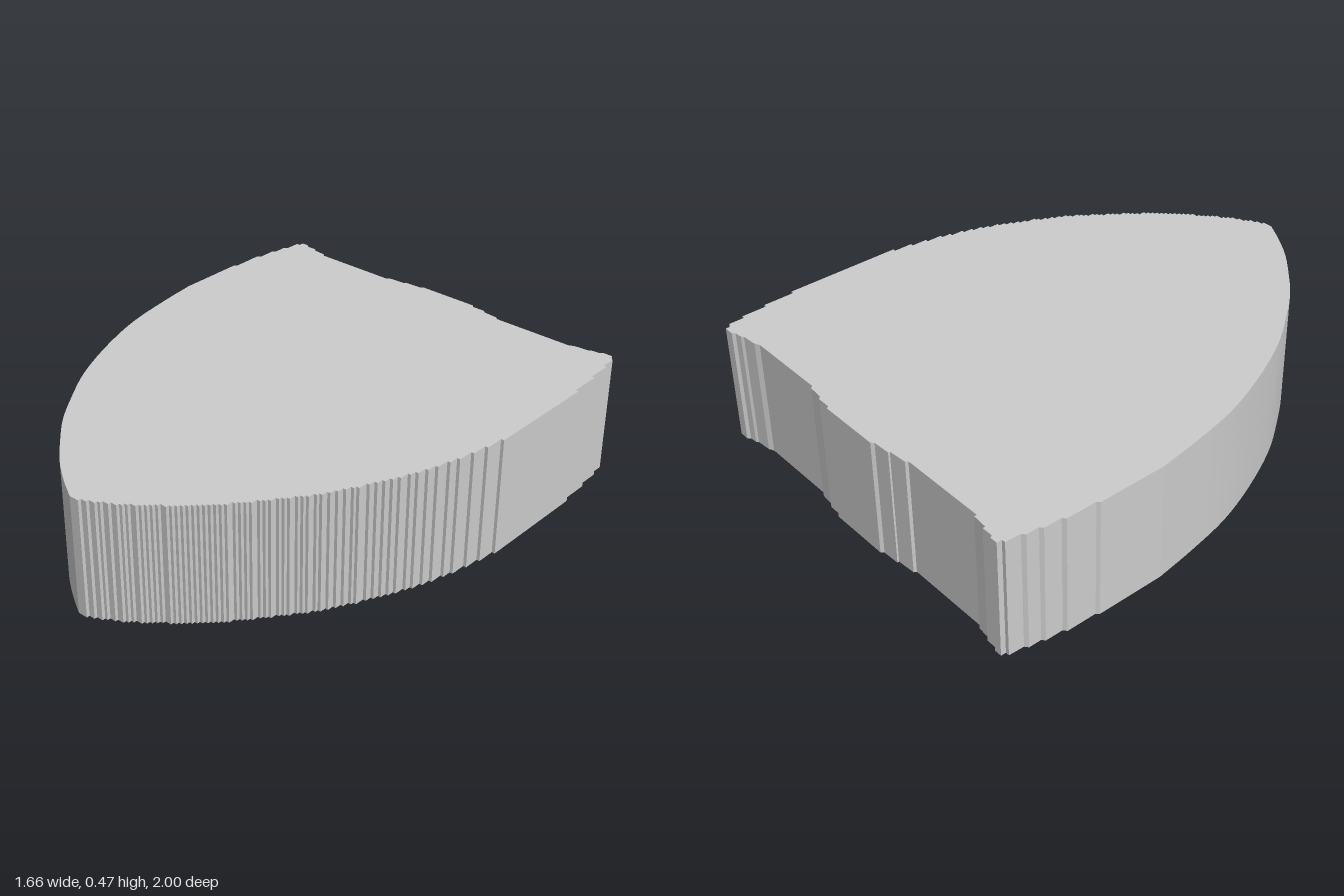
import * as THREE from 'three';

const HEIGHT = 0.47;
const STEP = 0.0125;

// Smooth curve through [x, z] points
function curve(points, samples) {
  const c = new THREE.CatmullRomCurve3(points.map(([x, z]) => new THREE.Vector3(x, 0, z)));
  return c.getSpacedPoints(samples).map((p) => [p.x, p.z]);
}

// Snap a path to a fine grid, so it becomes a staircase
function stepped(points) {
  const out = [];
  for (const p of points) {
    const x = Math.round(p[0] / STEP) * STEP;
    const z = Math.round(p[1] / STEP) * STEP;
    const last = out[out.length - 1];
    if (last && last[0] === x && last[1] === z) continue;
    if (last && last[0] !== x && last[1] !== z) out.push([last[0], z]);
    out.push([x, z]);
  }
  return out;
}

export function createModel() {
  const group = new THREE.Group();
  group.name = 'shield';

  // Back edge: raised centre and corners, with two shallow dips
  const back = [
    [-0.785, -0.98], [-0.77, -0.98], [-0.77, -1], [-0.74, -1], [-0.735, -0.99],
    [-0.69, -0.99], [-0.69, -0.98], [-0.63, -0.975], [-0.63, -0.965],
    [-0.28, -0.965], [-0.275, -0.975], [-0.2, -0.98], [-0.2, -0.987], [-0.13, -0.99],
    [-0.12, -1], [0.13, -1], [0.135, -0.99], [0.19, -0.99], [0.2, -0.98],
    [0.26, -0.975], [0.27, -0.965], [0.6, -0.965], [0.62, -0.975], [0.68, -0.98],
    [0.69, -0.987], [0.72, -0.99], [0.73, -1], [0.77, -1], [0.77, -0.985],
  ];

  // Finely stepped side, from the back corner to the tip
  const steppedSide = stepped(curve([
    [0.785, -0.98], [0.8, -0.87], [0.81, -0.78], [0.825, -0.62], [0.83, -0.5],
    [0.827, -0.34], [0.815, -0.2], [0.77, 0.01], [0.7, 0.21], [0.6, 0.41],
    [0.52, 0.53], [0.43, 0.65], [0.32, 0.77], [0.2, 0.88], [0.1, 0.95], [0.015, 1],
  ], 500));

  // Smooth side, from the tip to the widest point
  const smoothSide = curve([
    [-0.015, 1], [-0.1, 0.95], [-0.2, 0.88], [-0.3, 0.79], [-0.4, 0.69],
    [-0.5, 0.56], [-0.6, 0.41], [-0.7, 0.2], [-0.77, 0], [-0.81, -0.2], [-0.835, -0.37],
  ], 70);

  // Few long steps from the widest point to the back corner
  const shoulder = [
    [-0.835, -0.64], [-0.825, -0.65], [-0.825, -0.77], [-0.812, -0.78],
    [-0.812, -0.85], [-0.8, -0.86], [-0.8, -0.91], [-0.787, -0.92],
  ];

  const outline = [...back, ...steppedSide, ...smoothSide, ...shoulder];
  const shape = new THREE.Shape(outline.map(([x, z]) => new THREE.Vector2(x, -z)));
  const geometry = new THREE.ExtrudeGeometry(shape, { depth: HEIGHT, bevelEnabled: false });
  geometry.rotateX(-Math.PI / 2);

  const body = new THREE.Mesh(
    geometry,
    new THREE.MeshStandardMaterial({ color: 0xcccccc, flatShading: true })
  );
  body.name = 'shieldBody';
  group.add(body);
  return group;
}
